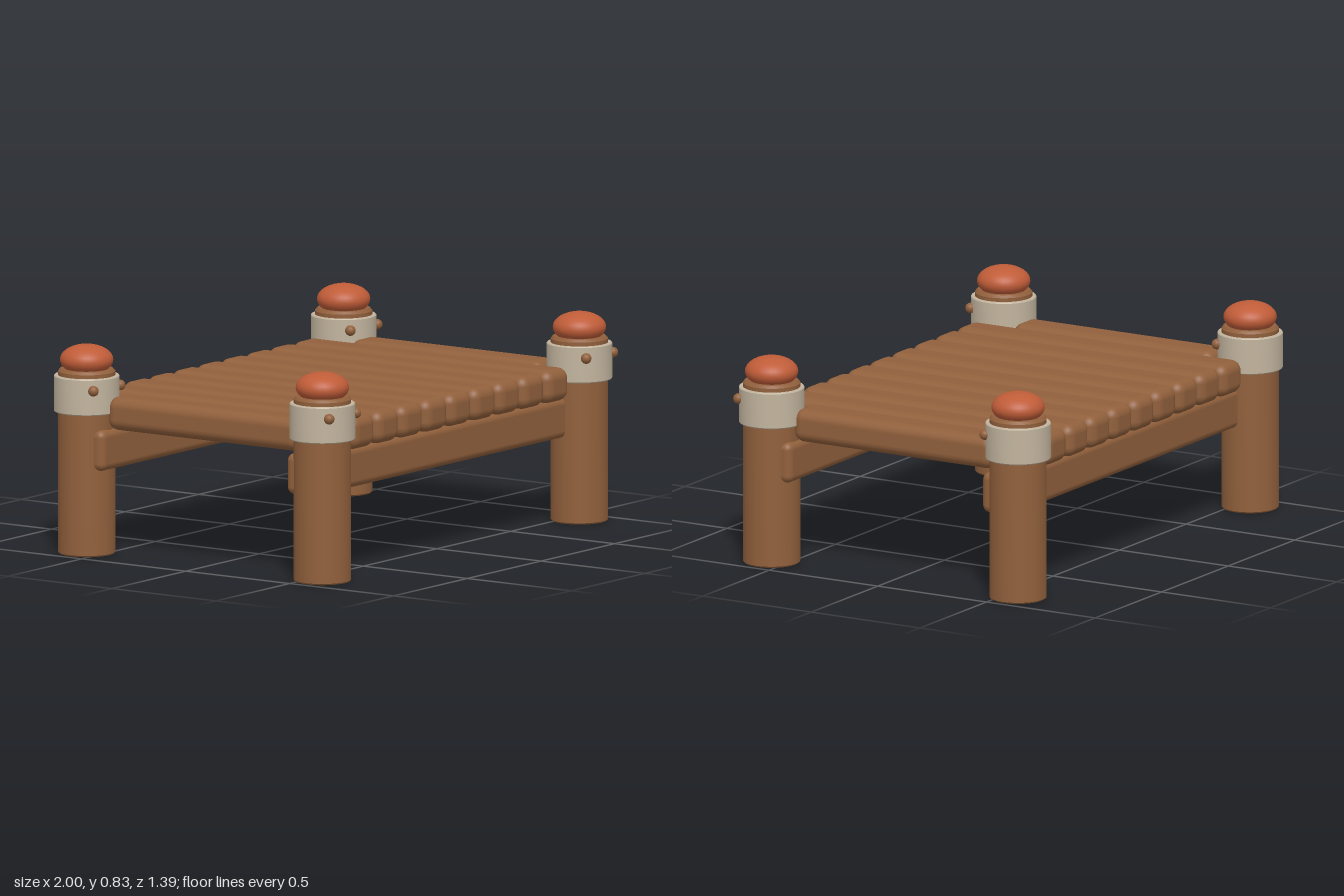
import * as THREE from 'three';
import { RoundedBoxGeometry } from 'three/addons/geometries/RoundedBoxGeometry.js';
import { toCreasedNormals } from 'three/addons/utils/BufferGeometryUtils.js';

const POST_X = 0.872, POST_Z = 0.567;

function material(name, color) {
  const m = new THREE.MeshStandardMaterial({ color });
  m.name = name;
  return m;
}

// Turned solid from [radius, height] pairs, with crisp rims
function turned(points, segments = 40) {
  const profile = points.map(([r, y]) => new THREE.Vector2(r, y));
  return toCreasedNormals(new THREE.LatheGeometry(profile, segments), 0.6);
}

export function createModel() {
  const model = new THREE.Group();
  model.name = 'plankBed';
  const wood = material('brown wood', 0x91603c);
  const band = material('beige band', 0xc2b49e);
  const red = material('red cap', 0xbf5c38);

  function add(parent, name, geometry, mat, x = 0, y = 0, z = 0) {
    const mesh = new THREE.Mesh(geometry, mat);
    mesh.name = name;
    mesh.position.set(x, y, z);
    parent.add(mesh);
    return mesh;
  }

  // Corner posts with collar, domed cap and two pegs on the +z side
  const postGeo = turned([[0, 0], [0.107, 0], [0.113, 0.006], [0.113, 0.725], [0.104, 0.735], [0, 0.735]]);
  const collarGeo = turned([[0.11, 0.565], [0.126, 0.565], [0.129, 0.569], [0.129, 0.706], [0.126, 0.71], [0.11, 0.71]]);
  const capGeo = new THREE.SphereGeometry(0.105, 36, 20);
  capGeo.scale(1, 0.58, 1);
  const pegGeo = new THREE.SphereGeometry(0.021, 16, 12);

  for (const sx of [-1, 1]) {
    for (const sz of [-1, 1]) {
      const post = new THREE.Group();
      post.name = (sz > 0 ? 'front' : 'back') + (sx > 0 ? 'Left' : 'Right') + 'Post';
      post.position.set(sx * POST_X, 0, sz * POST_Z);
      add(post, 'leg', postGeo, wood);
      add(post, 'collar', collarGeo, band);
      add(post, 'cap', capGeo, red, 0, 0.77, 0);
      for (const s of [-1, 1]) add(post, 'peg', pegGeo, wood, s * 0.091, 0.665, 0.097);
      model.add(post);
    }
  }

  // Long beams under the planks
  const beamGeo = new RoundedBoxGeometry(1.89, 0.163, 0.14, 4, 0.03);
  for (const s of [-1, 1]) add(model, s > 0 ? 'frontBeam' : 'backBeam', beamGeo, wood, 0, 0.423, s * 0.508);

  // Planks: nine full-length ones and a shorter one between the posts at each end
  const plankGeo = new RoundedBoxGeometry(0.154, 0.132, 1.25, 5, 0.042);
  const endPlankGeo = new RoundedBoxGeometry(0.154, 0.132, 0.92, 5, 0.042);
  for (let i = -5; i <= 5; i++) {
    const end = Math.abs(i) === 5;
    add(model, end ? 'endPlank' : 'plank', end ? endPlankGeo : plankGeo, wood, i * 0.1645, 0.568, 0);
  }

  return model;
}
